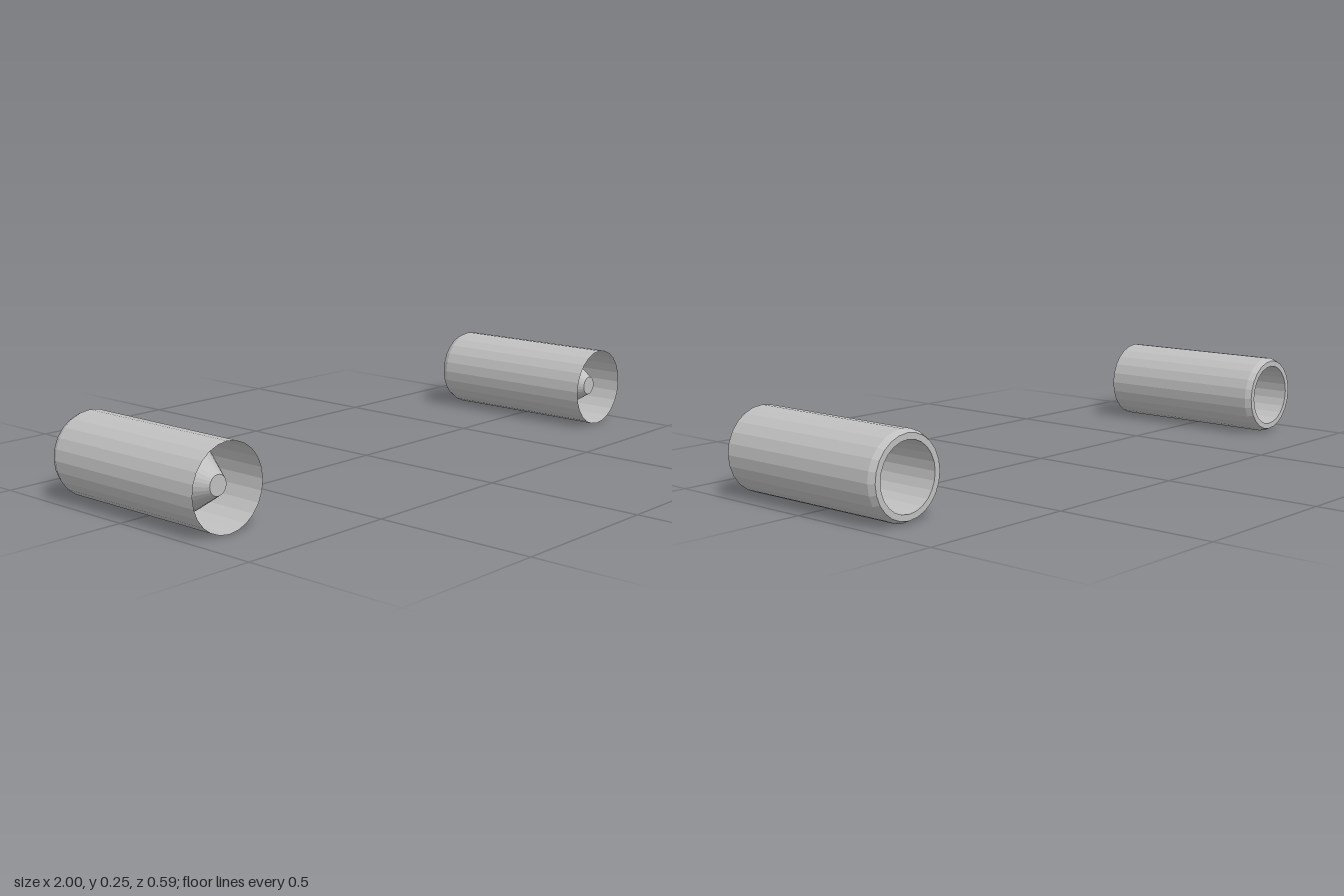
import * as THREE from 'three';

const SIDES = 24;
const RADIUS = 0.127;

export function createModel() {
  const gray = new THREE.MeshStandardMaterial({
    color: 0xc0c0c0, flatShading: true, side: THREE.DoubleSide,
  });
  gray.name = 'light gray';

  // Surface of revolution around z from [radius, z] pairs
  const turned = (name, profile) => {
    const points = profile.map(([r, z]) => new THREE.Vector2(r, z));
    const geometry = new THREE.LatheGeometry(points, SIDES);
    geometry.rotateX(Math.PI / 2);
    const mesh = new THREE.Mesh(geometry, gray);
    mesh.name = name;
    return mesh;
  };

  const model = new THREE.Group();
  model.name = 'engines';

  for (const side of [1, -1]) {
    const engine = new THREE.Group();
    engine.name = side > 0 ? 'leftEngine' : 'rightEngine';
    engine.add(
      // Open-fronted outer casing
      turned('casing', [[RADIUS, -0.274], [RADIUS, 0.294]]),
      // Beveled rear edge and flat exhaust rim
      turned('rearRim', [[0.1, -0.294], [0.118, -0.294], [RADIUS, -0.274]]),
      // Inner duct, open at the back
      turned('exhaustDuct', [[0.1, 0.14], [0.1, -0.294]]),
      // Blunt intake cone closing the duct at the front
      turned('intakeCone', [[0.1, 0.14], [0.03, 0.255], [0, 0.255]]),
    );
    engine.position.set(side * (1 - RADIUS), RADIUS, 0);
    model.add(engine);
  }
  return model;
}
